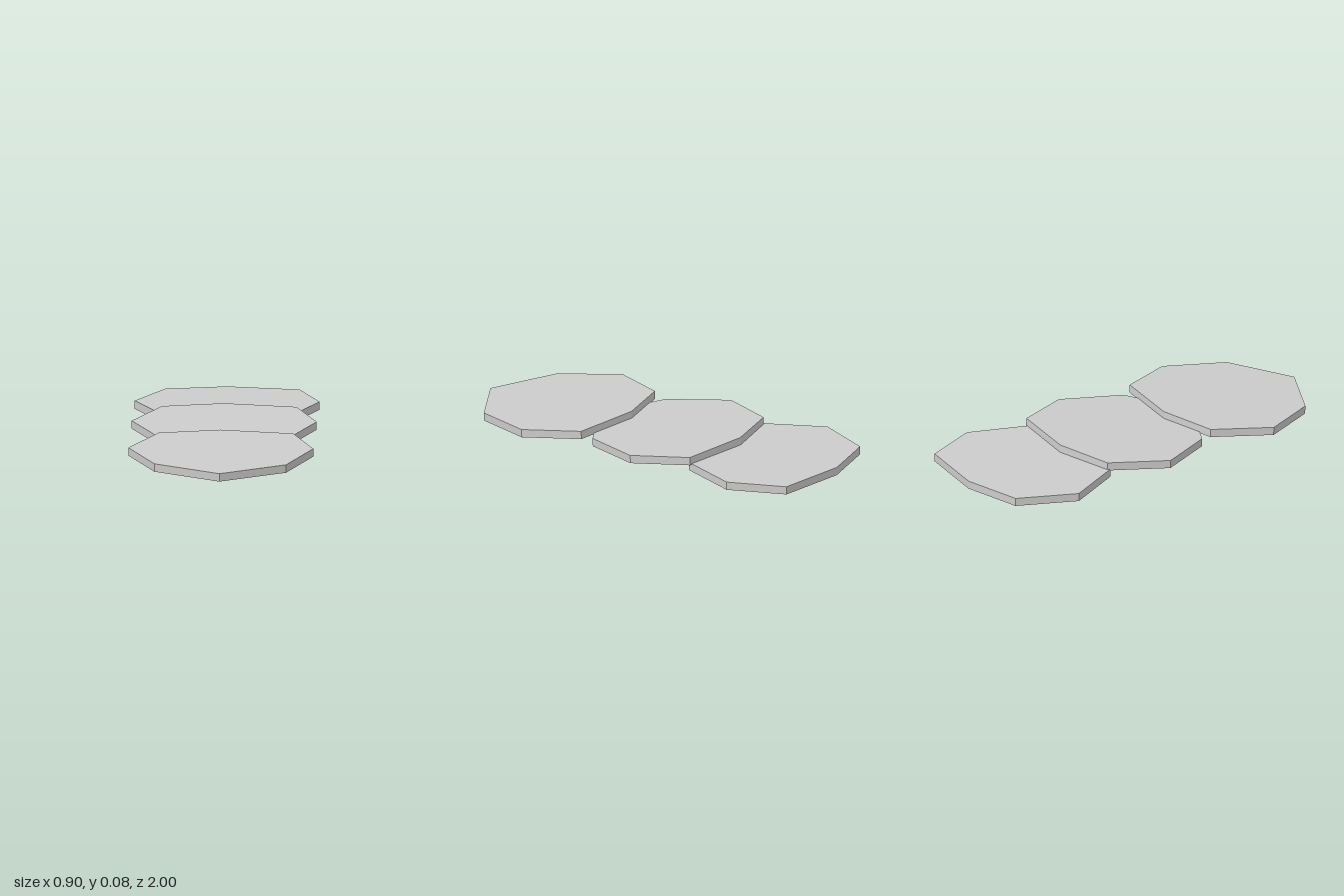
import * as THREE from 'three';

// Plate outline as [x, distance behind the front tip]
const OUTLINE = [
  [0.005, 0], [0.325, 0.17], [0.45, 0.47], [0.345, 0.748],
  [-0.01, 0.81], [-0.31, 0.75], [-0.45, 0.47], [-0.315, 0.175],
];
const THICKNESS = 0.04;

export function createModel() {
  const model = new THREE.Group();
  model.name = 'overlappingPlates';

  const material = new THREE.MeshStandardMaterial({ color: 0xcccccc, flatShading: true });

  // Eight-sided slab lying flat, front tip at the origin
  const shape = new THREE.Shape(OUTLINE.map(([x, d]) => new THREE.Vector2(x, d)));
  const geometry = new THREE.ExtrudeGeometry(shape, { depth: THICKNESS, bevelEnabled: false });
  geometry.rotateX(-Math.PI / 2);

  // Each plate: name, z of its front tip, rise from front to back
  const plates = [
    ['frontPlate', 0.998, 0.043],
    ['middlePlate', 0.368, 0.038],
    ['rearPlate', -0.19, 0],
  ];
  for (const [name, z, rise] of plates) {
    const plate = new THREE.Mesh(geometry, material);
    plate.name = name;
    plate.position.z = z;
    plate.rotation.x = Math.asin(rise / 0.81);
    model.add(plate);
  }

  return model;
}
